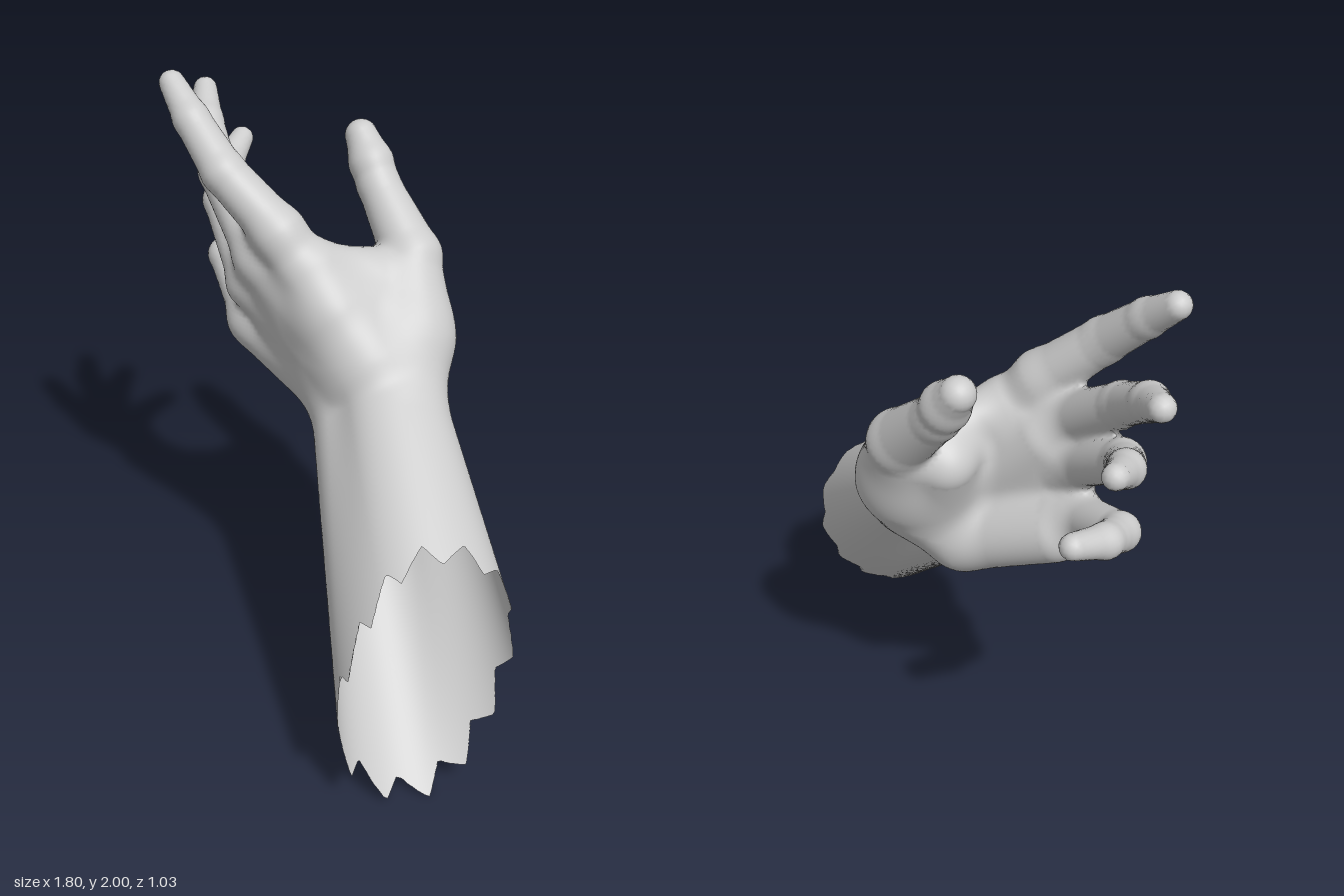
import * as THREE from 'three';

// Each bone is a tapered capsule: part, start, start radius, end, end radius, blend width
const bones = [];
const addBone = (part, a, ra, b, rb, blend) => {
  const d = b.map((v, i) => v - a[i]);
  bones.push({ part, a, d, ra, dr: rb - ra, blend, len2: d[0] ** 2 + d[1] ** 2 + d[2] ** 2 });
};
// A digit is a chain of joints [x, y, z, radius]; its first bone blends widely into the palm
const addDigit = (part, joints) => {
  for (let i = 1; i < joints.length; i++) {
    const p = joints[i - 1], q = joints[i];
    addBone(part, p.slice(0, 3), p[3], q.slice(0, 3), q[3], i === 1 ? 0.05 : 0.016);
  }
};

// Forearm: three overlapping bones, running past the torn end
addBone('forearm', [0.14, 1.05, -0.165], 0.148, [1.06, 0.265, 0.33], 0.29, 0.04);
addBone('forearm', [0.065, 0.945, -0.12], 0.152, [1.025, 0.21, 0.36], 0.285, 0.04);
addBone('forearm', [0.155, 1.07, -0.235], 0.125, [1.08, 0.26, 0.27], 0.275, 0.06);

// Palm: four metacarpals and a filling between them
addBone('palm', [0.08, 1.14, -0.13], 0.12, [-0.2, 1.54, 0.0], 0.082, 0.07);
addBone('palm', [0.06, 1.09, -0.11], 0.105, [-0.29, 1.43, 0.01], 0.077, 0.07);
addBone('palm', [0.03, 1.03, -0.11], 0.105, [-0.36, 1.3, -0.005], 0.075, 0.07);
addBone('palm', [0.0, 0.98, -0.12], 0.11, [-0.405, 1.14, -0.04], 0.08, 0.07);
addBone('palm', [0.04, 1.1, -0.15], 0.11, [-0.26, 1.38, -0.05], 0.085, 0.09);
// Pad below the little finger and the heel of the palm
addBone('palm', [-0.055, 0.95, -0.185], 0.115, [-0.37, 1.085, -0.1], 0.092, 0.08);
addBone('palm', [0.13, 1.04, -0.24], 0.11, [-0.04, 0.98, -0.21], 0.1, 0.08);
// Web between index finger and thumb, and the ball of the thumb
addBone('palm', [-0.1, 1.44, -0.1], 0.07, [0.0, 1.37, -0.36], 0.075, 0.09);
addBone('palm', [-0.02, 1.3, -0.09], 0.1, [0.05, 1.28, -0.35], 0.105, 0.09);
addBone('palm', [0.08, 1.16, -0.14], 0.13, [0.09, 1.16, -0.3], 0.13, 0.08);
addBone('thumb', [0.03, 1.07, -0.25], 0.125, [-0.09, 1.32, -0.31], 0.1, 0.08);
addBone('thumb', [0.17, 1.03, -0.22], 0.12, [0.1, 1.19, -0.33], 0.13, 0.1);

// Thumb, then the fingers
addDigit('thumb', [[0.1, 1.17, -0.325, 0.135], [-0.01, 1.41, -0.42, 0.102],
  [-0.21, 1.6, -0.44, 0.073], [-0.26, 1.665, -0.448, 0.075], [-0.325, 1.74, -0.458, 0.056]]);
addDigit('indexFinger', [[-0.2, 1.55, 0.0, 0.085], [-0.38, 1.725, 0.085, 0.073],
  [-0.54, 1.865, 0.095, 0.06], [-0.655, 1.955, 0.088, 0.044]]);
addDigit('middleFinger', [[-0.29, 1.43, 0.01, 0.082], [-0.57, 1.635, -0.03, 0.068],
  [-0.74, 1.755, -0.105, 0.058], [-0.855, 1.822, -0.185, 0.042]]);
addDigit('ringFinger', [[-0.36, 1.31, -0.005, 0.078], [-0.64, 1.495, -0.09, 0.065],
  [-0.75, 1.575, -0.2, 0.056], [-0.805, 1.625, -0.303, 0.041]]);
addDigit('littleFinger', [[-0.4, 1.145, -0.04, 0.08], [-0.67, 1.268, -0.12, 0.06],
  [-0.71, 1.312, -0.23, 0.054], [-0.705, 1.355, -0.36, 0.042]]);

function boneDistance(b, x, y, z) {
  const px = x - b.a[0], py = y - b.a[1], pz = z - b.a[2], d = b.d;
  const t = Math.min(1, Math.max(0, (px * d[0] + py * d[1] + pz * d[2]) / b.len2));
  const ex = px - d[0] * t, ey = py - d[1] * t, ez = pz - d[2] * t;
  return Math.sqrt(ex * ex + ey * ey + ez * ez) - b.ra - b.dr * t;
}

// Smooth union of all bones: negative inside the skin
function skin(x, y, z) {
  let s = 10;
  for (const b of bones) {
    const d = boneDistance(b, x, y, z);
    const h = Math.max(0, b.blend - Math.abs(s - d)) / b.blend;
    s = Math.min(s, d) - h * h * b.blend * 0.25;
  }
  return s;
}

function gradient(p) {
  const e = 0.003, [x, y, z] = p;
  const g = [skin(x + e, y, z) - skin(x - e, y, z), skin(x, y + e, z) - skin(x, y - e, z),
    skin(x, y, z + e) - skin(x, y, z - e)];
  const l = Math.hypot(...g) || 1;
  return g.map(v => v / l);
}

function nearestPart(p) {
  let best = Infinity, part = '';
  for (const b of bones) {
    const d = boneDistance(b, ...p);
    if (d < best) { best = d; part = b.part; }
  }
  return part;
}

// Torn end of the forearm: height of a point past a slanted zigzag cut
const axis = new THREE.Vector3(0.72, -0.59, 0.36).normalize();
const across = new THREE.Vector3(0.63, 0.77, 0).normalize();
const around = new THREE.Vector3().crossVectors(axis, across);
const cutNormal = new THREE.Vector3(0.94, 0.14, 0.3).normalize();
const cutCentre = new THREE.Vector3(0.78, 0.44, 0.2);
function pastCut(p) {
  const q = new THREE.Vector3(...p).sub(cutCentre);
  const angle = Math.atan2(q.dot(around), q.dot(across)) / (2 * Math.PI) + 0.5;
  const saw = (angle * 13) % 1;
  const tooth = saw < 0.65 ? saw / 0.65 : (1 - saw) / 0.35;
  return q.dot(cutNormal) - 0.06 * (tooth - 0.5) - 0.012 * Math.sin(angle * 6 * Math.PI);
}

// Wrap the skin in a quad net: one vertex per crossed grid cell, pulled onto the surface
function buildNet() {
  const step = 0.016, low = [-0.96, -0.12, -0.62], n = [124, 138, 78];
  const stride = [1, n[0], n[0] * n[1]];
  const field = new Float32Array(n[0] * n[1] * n[2]);
  let at = 0;
  for (let k = 0; k < n[2]; k++) for (let j = 0; j < n[1]; j++) for (let i = 0; i < n[0]; i++) {
    field[at++] = skin(low[0] + i * step, low[1] + j * step, low[2] + k * step);
  }
  const positions = [], normals = [], parts = [], beyond = [], cells = new Map();
  const vertex = (cell) => {
    if (cells.has(cell)) return cells.get(cell);
    const ijk = [cell % n[0], Math.floor(cell / n[0]) % n[1], Math.floor(cell / stride[2])];
    let p = ijk.map((v, a) => low[a] + (v + 0.5) * step);
    for (let r = 0; r < 3; r++) {
      const g = gradient(p), f = skin(...p);
      p = p.map((v, a) => v - g[a] * f);
    }
    normals.push(...gradient(p));
    const part = nearestPart(p);
    // Slide points past the torn edge back onto it
    const over = part === 'forearm' ? pastCut(p) : -1;
    if (over > 0) {
      const slide = over / axis.dot(cutNormal);
      p = [p[0] - axis.x * slide, p[1] - axis.y * slide, p[2] - axis.z * slide];
    }
    positions.push(...p);
    parts.push(part);
    beyond.push(over > 0);
    cells.set(cell, parts.length - 1);
    return parts.length - 1;
  };
  const faces = {};
  const triangle = (a, b, c) => {
    if (!(beyond[a] && beyond[b] && beyond[c])) (faces[parts[a]] ??= []).push(a, b, c);
  };
  for (let k = 1; k < n[2] - 1; k++) for (let j = 1; j < n[1] - 1; j++) for (let i = 1; i < n[0] - 1; i++) {
    const c = i + j * stride[1] + k * stride[2];
    for (let a = 0; a < 3; a++) {
      const inside = field[c] < 0;
      if (inside === field[c + stride[a]] < 0) continue;
      const sb = stride[(a + 1) % 3], sc = stride[(a + 2) % 3];
      const q = [c, c - sb, c - sb - sc, c - sc].map(vertex);
      if (!inside) q.reverse();
      triangle(q[0], q[1], q[2]);
      triangle(q[0], q[2], q[3]);
    }
  }
  return { positions, normals, faces };
}

export function createModel() {
  const group = new THREE.Group();
  group.name = 'handAndForearm';
  const material = new THREE.MeshStandardMaterial({ color: 0xcccccc, side: THREE.DoubleSide });
  material.name = 'lightGrey';
  const { positions, normals, faces } = buildNet();
  // One mesh per part, sharing normals so the skin stays seamless
  for (const [part, index] of Object.entries(faces)) {
    const geometry = new THREE.BufferGeometry();
    geometry.setAttribute('position', new THREE.Float32BufferAttribute(positions, 3));
    geometry.setAttribute('normal', new THREE.Float32BufferAttribute(normals, 3));
    geometry.setIndex(index);
    const mesh = new THREE.Mesh(geometry.toNonIndexed(), material);
    mesh.name = part;
    group.add(mesh);
  }
  return group;
}
